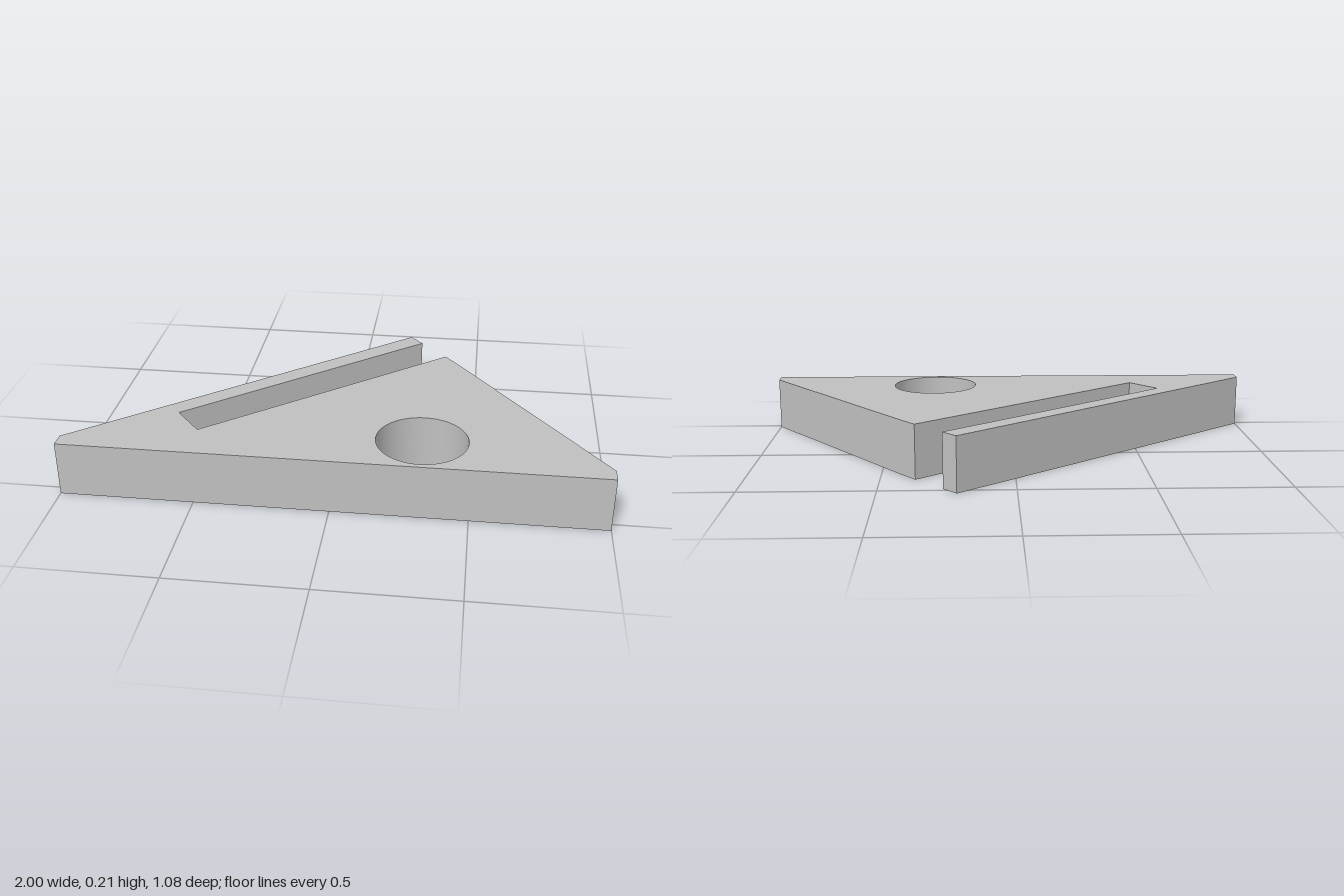
import * as THREE from 'three';
import { toCreasedNormals } from 'three/addons/utils/BufferGeometryUtils.js';

export function createModel() {
  const group = new THREE.Group();
  group.name = 'slottedWedgePlate';
  const height = 0.21;
  const grey = new THREE.MeshStandardMaterial({ color: 0xc0c0c0 });
  grey.name = 'light grey';

  // Outline seen from above, as [x, z], including the open slot beside the thin arm
  const outline = [
    [-1, 0.54], [1, 0.54], [1, 0.48],
    [0.418, -0.302], [0.37, -0.362],   // tip with its small bevel
    [-0.512, 0.372], [-0.612, 0.252],  // closed end of the slot
    [0.265, -0.482], [0.215, -0.54],   // free end of the arm
    [-1, 0.48],
  ];
  const shape = new THREE.Shape(outline.map(([x, z]) => new THREE.Vector2(x, -z)));

  // Round through hole
  const hole = new THREE.Path();
  hole.absarc(0.318, -0.35, 0.17, 0, Math.PI * 2, true);
  shape.holes.push(hole);

  const flat = new THREE.ExtrudeGeometry(shape, {
    depth: height, bevelEnabled: false, curveSegments: 80,
  });
  flat.rotateX(-Math.PI / 2);

  // Smooth hole wall, sharp edges everywhere else
  const plate = new THREE.Mesh(toCreasedNormals(flat, 0.045), grey);
  plate.name = 'plate';
  group.add(plate);
  return group;
}
